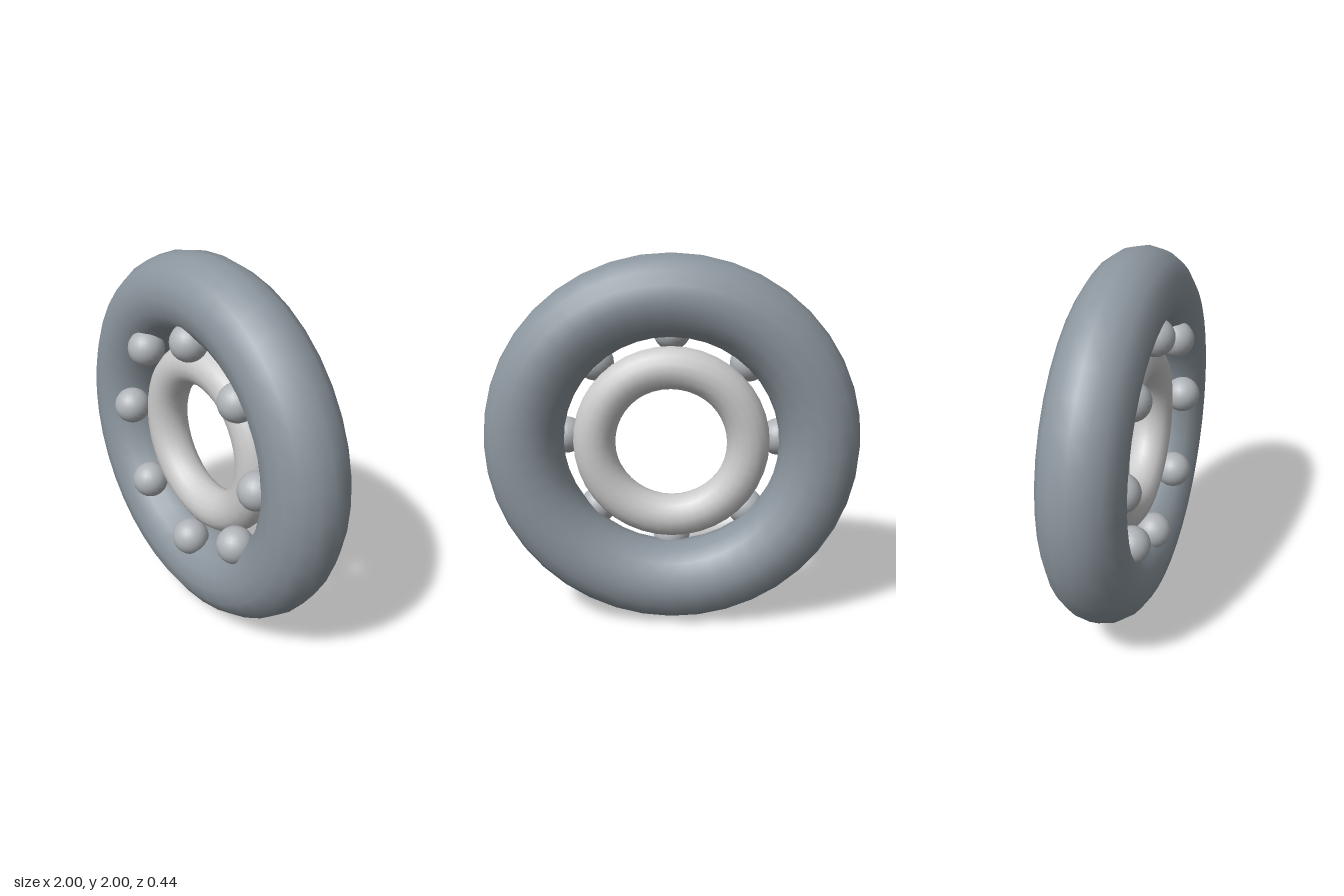
import * as THREE from 'three';

const CENTRE_Y = 1;
const RING_Z = -0.007;
const BALL_COUNT = 8;

export function createModel() {
  const model = new THREE.Group();
  model.name = 'ballBearing';

  const add = (name, geometry, color, x, y, z, parent = model) => {
    const mesh = new THREE.Mesh(geometry, new THREE.MeshStandardMaterial({ color }));
    mesh.name = name;
    mesh.position.set(x, y, z);
    parent.add(mesh);
    return mesh;
  };

  // Concentric rings, upright and facing the front
  add('outerRing', new THREE.TorusGeometry(0.786, 0.214, 16, 40), 0x8c969e, 0, CENTRE_Y, RING_Z);
  add('innerRing', new THREE.TorusGeometry(0.41, 0.113, 16, 40), 0xcccccc, 0, CENTRE_Y, RING_Z);

  // Balls seated in the gap, set towards the front
  const balls = new THREE.Group();
  balls.name = 'balls';
  model.add(balls);
  const ballGeometry = new THREE.SphereGeometry(0.1, 20, 14);
  for (let i = 0; i < BALL_COUNT; i++) {
    const a = (i / BALL_COUNT) * Math.PI * 2;
    add(`ball${i + 1}`, ballGeometry, 0xb0b4b8,
      0.577 * Math.cos(a), CENTRE_Y + 0.577 * Math.sin(a), 0.121, balls);
  }

  return model;
}
